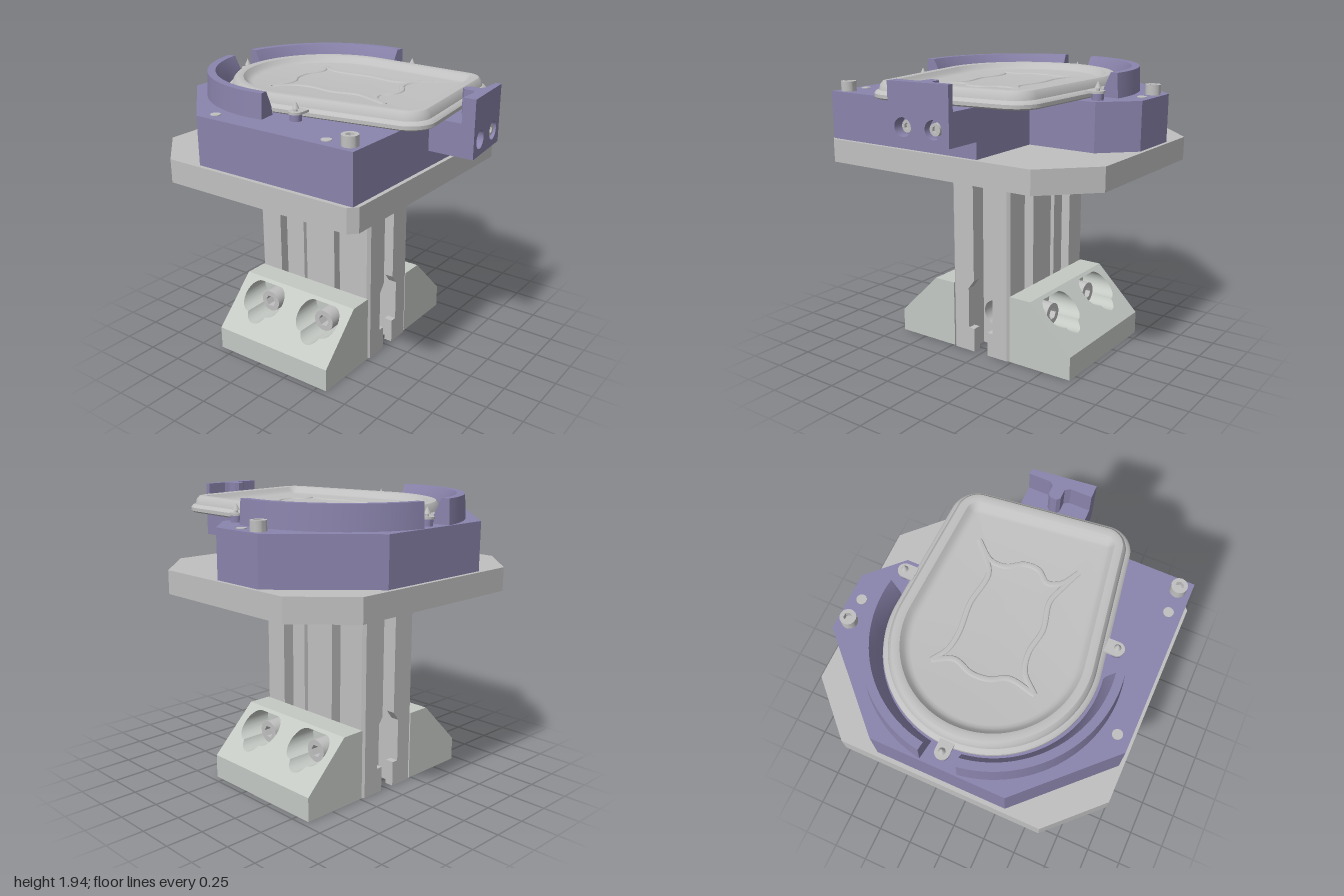
import * as THREE from 'three';
import { toCreasedNormals } from 'three/addons/utils/BufferGeometryUtils.js';

const mat = (name, color) => new THREE.MeshStandardMaterial({ name, color, side: THREE.DoubleSide });

export function createModel() {
  const root = new THREE.Group();
  const grey = mat('metal grey', 0xc0c0c0);
  const pale = mat('bracket grey', 0xc4c9c4);
  const purple = mat('fixture purple', 0x8a84ac);

  const add = (name, geo, material, parent = root) => {
    const mesh = new THREE.Mesh(toCreasedNormals(geo, 0.6), material);
    mesh.name = name;
    parent.add(mesh);
    return mesh;
  };
  const shapeOf = pts => new THREE.Shape(pts.map(p => new THREE.Vector2(p[0], p[1])));
  const circle = (x, y, r) => new THREE.Path().absarc(x, y, r, 0, Math.PI * 2);
  const extrude = (shape, depth) =>
    new THREE.ExtrudeGeometry(shape, { depth, bevelEnabled: false, curveSegments: 16 });
  // Plan outline of [x, z] points raised from y0 to y1
  const slab = (pts, y0, y1, holes = []) => {
    const s = shapeOf(pts.map(([x, z]) => [x, -z]));
    s.holes = holes;
    return extrude(s, y1 - y0).rotateX(-Math.PI / 2).translate(0, y0, 0);
  };
  // Side outline of [z, y] points pushed from x0 to x1
  const across = (pts, x0, x1, holes = []) => {
    const s = shapeOf(pts.map(([z, y]) => [-z, y]));
    s.holes = holes;
    return extrude(s, x1 - x0).rotateY(Math.PI / 2).translate(x0, 0, 0);
  };
  const rect = (a0, b0, a1, b1) => [[a0, b0], [a1, b0], [a1, b1], [a0, b1]];
  const disc = (r, y0, y1, x, z, n = 24) =>
    new THREE.CylinderGeometry(r, r, y1 - y0, n).translate(x, (y0 + y1) / 2, z);

  // Socket screw head standing on its base along +y
  const screwHead = (r, h, parent, x, y, z) => {
    const s = new THREE.Shape().absarc(0, 0, r, 0, Math.PI * 2);
    const hex = [];
    for (let i = 0; i < 6; i++) hex.push(new THREE.Vector2(Math.cos(i * Math.PI / 3), Math.sin(i * Math.PI / 3)).multiplyScalar(r * 0.55));
    s.holes.push(new THREE.Path(hex));
    const g = new THREE.Group();
    g.name = 'socketScrew';
    add('screwRim', extrude(s, h).rotateX(-Math.PI / 2), grey, g);
    add('screwSocketFloor', disc(r * 0.9, 0, h * 0.4, 0, 0), grey, g);
    g.position.set(x, y, z);
    parent.add(g);
    return g;
  };

  // Slotted column, centred on x = -0.14
  const column = new THREE.Group();
  column.name = 'column';
  column.position.x = -0.14;
  root.add(column);
  const H = 1.313, W = 0.47, D = 0.235;
  const outline = [[-W, 0.1], [-W, D - 0.02], [-W + 0.02, D]];
  const slot = c => outline.push([c - 0.053, D], [c - 0.053, D - 0.05], [c - 0.1, D - 0.05], [c - 0.1, 0.11],
    [c + 0.1, 0.11], [c + 0.1, D - 0.05], [c + 0.053, D - 0.05], [c + 0.053, D]);
  slot(-0.235);
  outline.push([-0.08, D], [-0.075, D - 0.025], [0.075, D - 0.025], [0.08, D]);
  slot(0.235);
  outline.push([W - 0.02, D], [W, D - 0.02], [W, 0.1]);
  for (const s of [1, -1]) {
    add('columnFace', slab(outline.map(([x, z]) => [x * s, z * s]), 0, H), grey, column);
    // Lips narrowing the side slots, milled wider near the foot
    for (const e of [1, -1]) for (const [y0, y1, taper] of [[0, 0.17, 0], [0.46, H, 0.06]])
      add('slotLip', across([[s * 0.1, y0], [s * 0.055, y0 + taper], [s * 0.055, y1], [s * 0.1, y1]],
        e > 0 ? W - 0.06 : -W, e > 0 ? W : -W + 0.06), grey, column);
  }
  add('columnCore', across(rect(-0.102, 0, 0.102, H), -0.3, 0.3, [circle(0, 0.245, 0.09)]), grey, column);

  // Foot brackets: slotted base, sloping top with screw pockets
  const bracket = angle => {
    const g = new THREE.Group();
    g.name = 'footBracket';
    g.position.x = -0.14;
    g.rotation.y = angle;
    root.add(g);
    const w = 0.462, centres = [-0.235, 0.235];
    const feet = centres.map(c => new THREE.Path()
      .absarc(c + 0.07, -0.5, 0.05, Math.PI / 2, -Math.PI / 2, true)
      .absarc(c - 0.07, -0.5, 0.05, -Math.PI / 2, -Math.PI * 1.5, true));
    add('bracketBase', slab(rect(-w, D, w, 0.707), 0, 0.16, feet), pale, g);
    add('bracketBack', across(rect(D, 0.16, 0.3, 0.47), -w, w), pale, g);
    const face = shapeOf(rect(-w, 0.16, w, 0.47));
    face.holes = centres.map(c => new THREE.Path()
      .absarc(c + 0.08, 0.368, 0.083, Math.PI / 2, -Math.PI / 2, true)
      .absarc(c, 0.32, 0.085, -0.424, -Math.PI + 0.424, true)
      .absarc(c - 0.08, 0.368, 0.083, -Math.PI / 2, -Math.PI * 1.5, true));
    const geo = extrude(face, 1), p = geo.attributes.position;
    for (let i = 0; i < p.count; i++)
      p.setZ(i, p.getZ(i) > 0.5 ? 0.707 - (p.getY(i) - 0.16) : 0.3);
    geo.computeVertexNormals();
    add('bracketSlope', geo, pale, g);
    for (const c of centres) screwHead(0.075, 0.13, g, c, 0.32, 0.3).rotation.x = Math.PI / 2;
  };
  bracket(0);
  bracket(Math.PI);

  // Base plate with corner holes
  const dowels = [[-0.22, -0.87], [0.46, 0.855]], screws = [[-0.375, -0.87], [0.62, 0.855]];
  add('basePlate', slab([[-0.685, -0.97], [0.41, -0.97], [0.725, -0.66], [0.725, 0.915], [0.675, 0.965],
    [-0.685, 0.965], [-1, 0.65], [-1, -0.66]], H, 1.468,
  [...dowels, ...screws].map(([x, z]) => circle(x, -z, 0.03))), grey);

  // Fixture block
  const top = 1.783;
  add('fixtureBlock', slab([[-0.455, -0.945], [-0.075, -0.945], [0.134, -0.735], [0.134, -0.26], [0.698, -0.26],
    [0.698, 0.937], [-0.455, 0.937], [-0.973, 0.417], [-0.973, -0.428]], 1.468, top), purple);
  for (const [x, z] of screws) screwHead(0.05, 0.065, root, x, top, z);
  for (const [x, z] of [...dowels, [-0.375, 0.855]]) add('dowel', disc(0.032, top, top + 0.005, x, z), grey);

  // Curved guide walls around the rounded end
  const prof = [[0.66, top - 0.01], [0.672, 1.84], [0.72, 1.94], [0.772, 1.94], [0.782, top - 0.01], [0.66, top - 0.01]];
  for (const [a, b] of [[Math.PI - 0.14, Math.PI * 1.5 - 0.15], [Math.PI * 1.5 + 0.15, Math.PI * 2 + 0.14]]) {
    const wall = new THREE.Group();
    wall.name = 'guideWall';
    wall.position.x = -0.19;
    root.add(wall);
    add('guideArc', new THREE.LatheGeometry(prof.map(p => new THREE.Vector2(...p)), 32, a, b - a), purple, wall);
    for (const phi of [a, b])
      add('guideEnd', new THREE.ShapeGeometry(shapeOf(prof.slice(0, 5))).rotateY(phi - Math.PI / 2), purple, wall);
  }

  // Side stop: block, slanted wall with bolt holes, and a tooth
  add('stopBlock', slab(rect(0.698, -0.26, 0.92, 0.155), 1.575, top), purple);
  const wallGeo = across(rect(-0.26, 1.575, 0.155, 1.94), 0.914, 1, [circle(-0.055, 1.675, 0.058), circle(0.155, 1.675, 0.058)]);
  const wp = wallGeo.attributes.position;
  for (let i = 0; i < wp.count; i++) if (wp.getX(i) > 0.95) wp.setX(i, 0.952 + (wp.getZ(i) + 0.26) * 0.116);
  wallGeo.computeVertexNormals();
  add('stopWall', wallGeo, purple);
  add('stopTooth', slab([[0.92, -0.13], [0.895, -0.095], [0.83, -0.095], [0.81, -0.075], [0.81, -0.035], [0.83, -0.015],
    [0.895, -0.015], [0.92, 0.03]], top, 1.94), purple);
  for (const z of [0.055, -0.155]) screwHead(0.038, 0.03, root, 0.92, 1.675, z).rotation.z = -Math.PI / 2;

  // Pressed tray: inset loops of a rounded outline at changing heights
  const corners = [[-0.19, -0.005, 0.65], [0.56, -0.45, 0.18], [0.67, 0.34, 0.17]];
  const N = 144;
  const loops = [[0.165, 1.815], [0.12, 1.83], [0.08, 1.83], [0.04, 1.8], [0.015, 1.788], [0, 1.798], [0, 1.82], [0.012, 1.834],
    [0.03, 1.84], [0.038, 1.872], [0.055, 1.892], [0.08, 1.897], [0.105, 1.891], [0.125, 1.868], [0.145, 1.853], [0.165, 1.85]];
  const pos = [], idx = [];
  for (const [d, y] of loops) for (let i = 0; i < N; i++) {
    const t = i / N * Math.PI * 2, c = Math.cos(t), s = Math.sin(t);
    const reach = k => k[0] * c + k[1] * s + k[2];
    const k = corners.reduce((m, q) => reach(q) > reach(m) ? q : m);
    const r = Math.max(k[2] - d, 0.005);
    pos.push(k[0] + r * c, y, k[1] + r * s);
  }
  for (let j = 0; j < loops.length - 1; j++) for (let i = 0; i < N; i++) {
    const a = j * N + i, b = j * N + (i + 1) % N;
    idx.push(a, a + N, b, b, a + N, b + N);
  }
  const base = loops.length * N, last = base - N;
  pos.push(0, 1.815, 0, 0, 1.85, 0);
  for (let i = 0; i < N; i++) {
    const n = (i + 1) % N;
    idx.push(base, i, n, base + 1, last + n, last + i);
  }
  const tray = new THREE.BufferGeometry();
  tray.setAttribute('position', new THREE.Float32BufferAttribute(pos, 3));
  tray.setIndex(idx);
  add('tray', tray, grey);

  // Star-shaped stiffening ribs on the tray panel
  for (const pts of [
    [[-0.42, -0.3], [-0.32, -0.24], [-0.2, -0.225], [0, -0.245], [0.22, -0.225], [0.32, -0.29], [0.41, -0.375]],
    [[-0.37, 0.335], [-0.27, 0.23], [-0.15, 0.2], [0.02, 0.22], [0.2, 0.185], [0.32, 0.22], [0.45, 0.27]],
    [[-0.42, -0.3], [-0.36, -0.18], [-0.4, -0.05], [-0.39, 0.06], [-0.34, 0.16], [-0.37, 0.335]],
    [[0.41, -0.375], [0.31, -0.25], [0.31, -0.15], [0.37, -0.05], [0.37, 0.04], [0.31, 0.12], [0.34, 0.2], [0.45, 0.27]],
  ]) {
    const path = new THREE.CatmullRomCurve3(pts.map(([x, z]) => new THREE.Vector3(x, 0, z)));
    add('trayRib', new THREE.TubeGeometry(path, 40, 0.018, 8).scale(1, 0.5, 1).translate(0, 1.85, 0), grey);
  }

  // Locating pins with clips pointing at the tray
  for (const [x, z, turn] of [[0.043, -0.7, -Math.PI / 2], [0.09, 0.663, Math.PI / 2], [-0.888, -0.005, 0]]) {
    const g = new THREE.Group();
    g.name = 'locatingPin';
    g.position.set(x, 0, z);
    g.rotation.y = turn;
    root.add(g);
    add('pinBoss', disc(0.037, top, 1.825, 0, 0), purple, g);
    const clip = new THREE.Shape().absarc(0, 0, 0.045, Math.PI / 2, Math.PI * 1.5).lineTo(0.07, -0.045).lineTo(0.07, 0.045);
    add('pinClip', extrude(clip, 0.015).rotateX(-Math.PI / 2).translate(0, 1.825, 0), grey, g);
    add('pinStem', disc(0.012, 1.84, 1.865, 0, 0, 12), grey, g);
    add('pinTip', new THREE.ConeGeometry(0.022, 0.045, 16).translate(0, 1.878, 0), grey, g);
  }
  return root;
}
